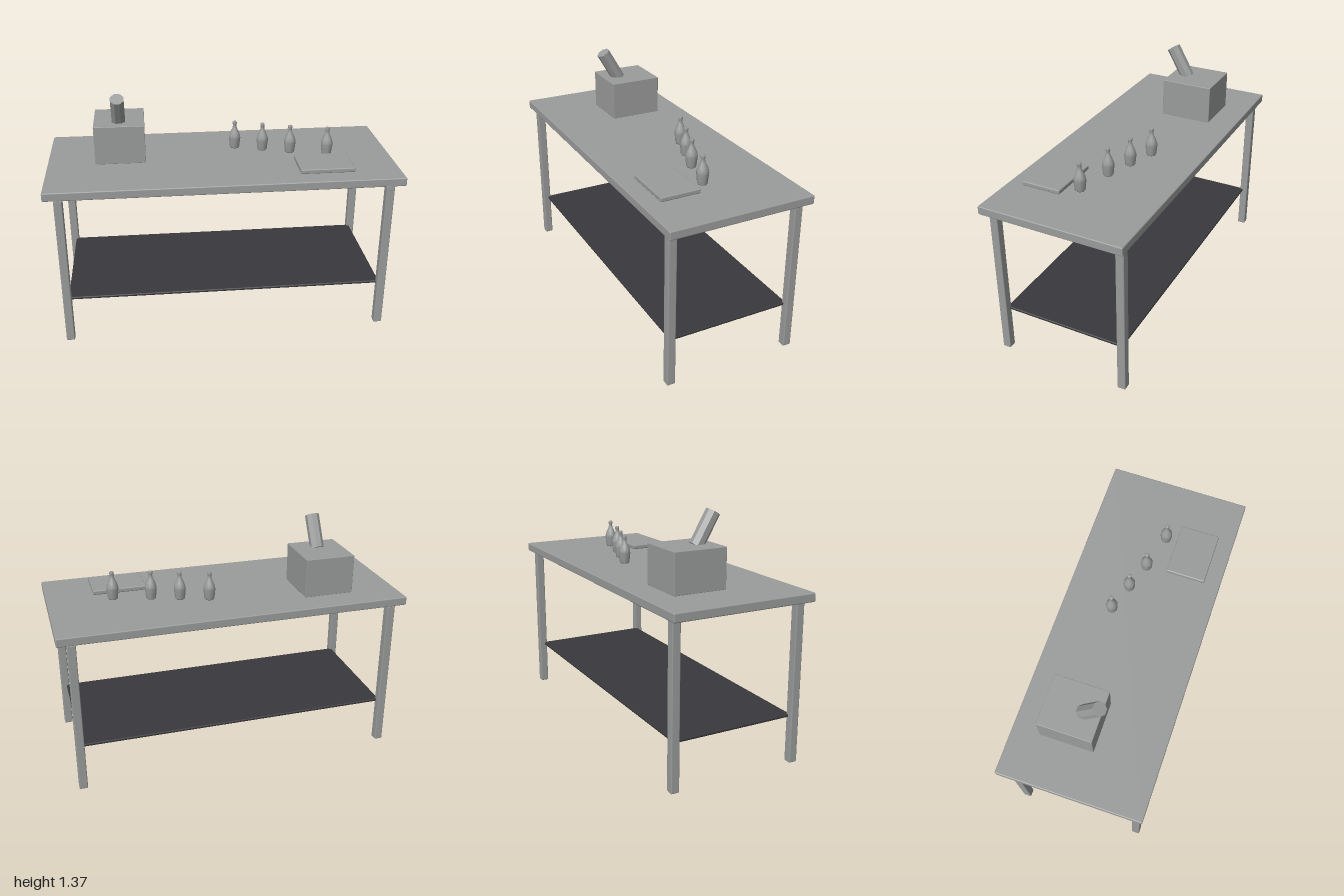
import * as THREE from 'three';
import { RoundedBoxGeometry } from 'three/addons/geometries/RoundedBoxGeometry.js';

export function createModel() {
  const model = new THREE.Group();
  model.name = 'workTable';

  const steel = new THREE.MeshStandardMaterial({ color: 0x9a9c9b });
  steel.name = 'grey steel';
  const dark = new THREE.MeshStandardMaterial({ color: 0x39383c });
  dark.name = 'dark shelf';

  const add = (name, geometry, material, x, y, z) => {
    const mesh = new THREE.Mesh(geometry, material);
    mesh.name = name;
    mesh.position.set(x, y, z);
    model.add(mesh);
    return mesh;
  };
  // Box with softened edges, given by its lower and upper limits
  const box = (name, material, [x0, x1], [y0, y1], [z0, z1], bevel) =>
    add(name, new RoundedBoxGeometry(x1 - x0, y1 - y0, z1 - z0, 2, bevel), material,
      (x0 + x1) / 2, (y0 + y1) / 2, (z0 + z1) / 2);

  // Table
  box('tableTop', steel, [-1, 1], [0.915, 0.964], [-0.418, 0.418], 0.006);
  box('lowerShelf', dark, [-0.912, 0.912], [0.259, 0.275], [-0.363, 0.363], 0.006);
  for (const [xName, sx] of [['Left', 1], ['Right', -1]]) {
    for (const [zName, sz] of [['front', 1], ['back', -1]]) {
      const x = sx * 0.92, z = sz * 0.37;
      box(`${zName}${xName}Leg`, steel,
        [x - 0.024, x + 0.024], [0, 0.906], [z - 0.024, z + 0.024], 0.006);
    }
  }

  // Block with a slanted handle standing out of its top
  box('block', steel, [-0.726, -0.436], [0.963, 1.19], [-0.26, 0.05], 0.003);
  const handleGeometry = new THREE.CylinderGeometry(0.041, 0.041, 0.2, 8).toNonIndexed();
  handleGeometry.rotateY(Math.PI / 8);
  handleGeometry.computeVertexNormals();
  const handle = add('handle', handleGeometry, steel, -0.583, 1.266, 0);
  handle.rotation.x = Math.PI / 6;

  // Cutting board
  box('cuttingBoard', steel, [0.42, 0.73], [0.972, 0.998], [0.095, 0.325], 0.006);

  // Row of bottles
  const profile = [
    [0, 0], [0.026, 0], [0.029, 0.006], [0.035, 0.062], [0.033, 0.076], [0.026, 0.098],
    [0.014, 0.122], [0.011, 0.136], [0.011, 0.146], [0.013, 0.149], [0.013, 0.16],
    [0.01, 0.165], [0, 0.165],
  ].map(([r, y]) => new THREE.Vector2(r, y));
  const bottleGeometry = new THREE.LatheGeometry(profile, 9);
  [[0.1, -0.13], [0.26, -0.078], [0.417, -0.025], [0.628, 0.028]].forEach(([x, z], i) =>
    add(`bottle${i + 1}`, bottleGeometry, steel, x, 0.968, z));

  return model;
}
